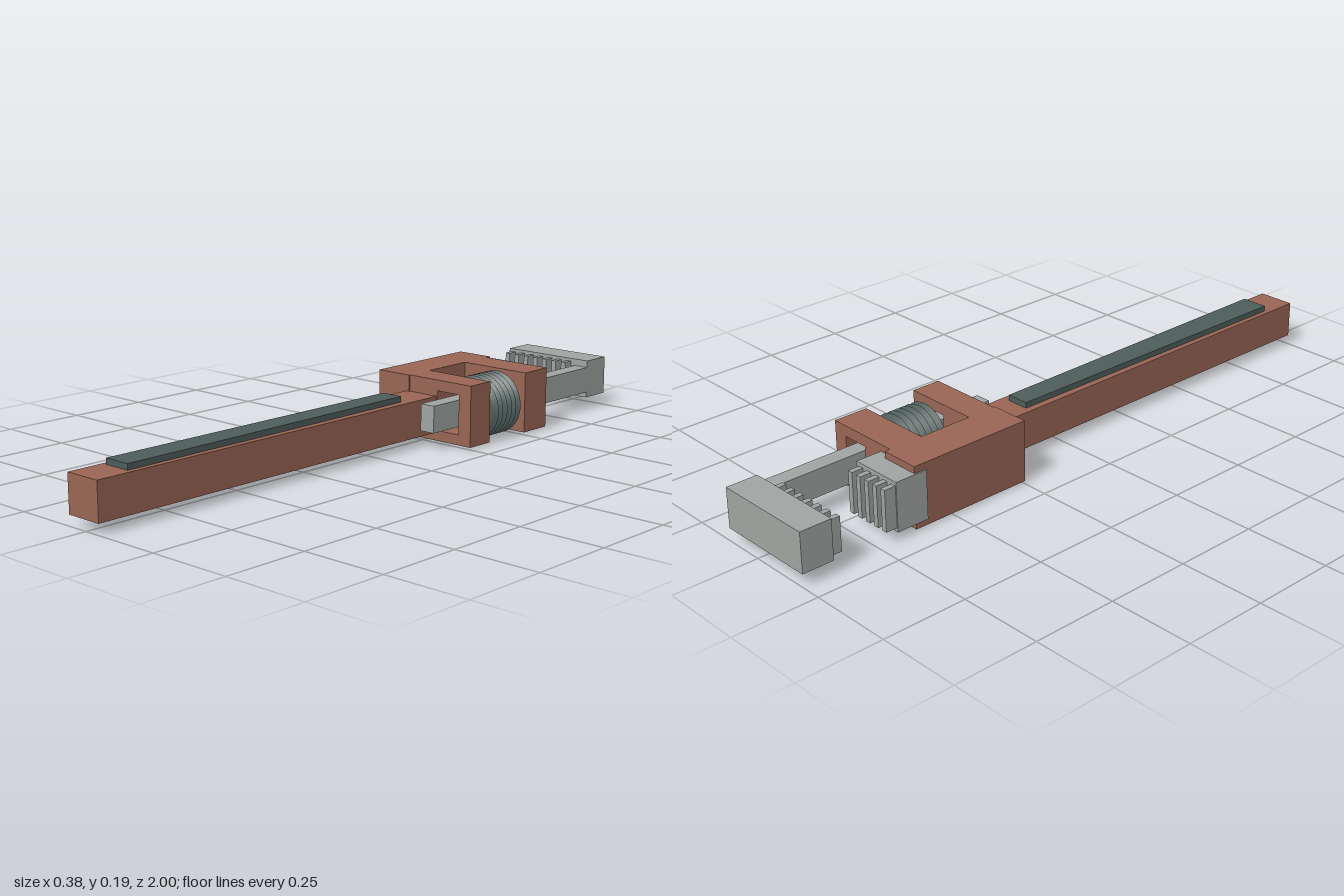
import * as THREE from 'three';
import { toCreasedNormals } from 'three/addons/utils/BufferGeometryUtils.js';

export function createModel() {
  const model = new THREE.Group();
  model.name = 'pipeWrench';

  const paint = new THREE.MeshStandardMaterial({ name: 'rustPaint', color: 0x9a6655 });
  const dark = new THREE.MeshStandardMaterial({ name: 'darkSteel', color: 0x4e5e5b });
  const steel = new THREE.MeshStandardMaterial({ name: 'lightSteel', color: 0xa0a5a2 });

  const add = (name, geometry, material, parent = model) => {
    const mesh = new THREE.Mesh(geometry, material);
    mesh.name = name;
    parent.add(mesh);
    return mesh;
  };
  // Box given by its limits on each axis
  const block = (name, material, [x0, x1], [y0, y1], [z0, z1], parent) => {
    const g = new THREE.BoxGeometry(x1 - x0, y1 - y0, z1 - z0);
    g.translate((x0 + x1) / 2, (y0 + y1) / 2, (z0 + z1) / 2);
    return add(name, g, material, parent);
  };
  const path = (T, pts) => new T(pts.map(([x, y]) => new THREE.Vector2(x, y)));
  const rect = (T, x0, x1, y0, y1) => path(T, [[x0, y0], [x1, y0], [x1, y1], [x0, y1]]);

  // Handle with a slightly tapered inlay on top
  block('handle', paint, [-0.064, 0.05], [0.03, 0.139], [-0.27, 1]);
  const inlay = new THREE.ExtrudeGeometry(
    path(THREE.Shape, [[-0.049, -0.892], [0.034, -0.892], [0.026, 0.124], [-0.043, 0.124]]),
    { depth: 0.027, bevelEnabled: false });
  inlay.rotateX(-Math.PI / 2).translate(0, 0.129, 0);
  add('handleInlay', inlay, dark);

  // Housing: side column and two arms pierced for the sliding bar
  const housing = new THREE.Group();
  housing.name = 'housing';
  model.add(housing);
  block('housingColumn', paint, [-0.17, -0.052], [0.006, 0.188], [-0.627, -0.246], housing);
  for (const [name, z0, z1] of [['frontArm', -0.34, -0.251], ['rearArm', -0.61, -0.505]]) {
    const shape = rect(THREE.Shape, -0.054, 0.18, 0.006, 0.188);
    shape.holes.push(rect(THREE.Path, 0.054, 0.136, 0.037, 0.156));
    const arm = new THREE.ExtrudeGeometry(shape, { depth: z1 - z0, bevelEnabled: false });
    arm.translate(0, 0, z0);
    add(name, arm, paint, housing);
  }

  // Ridged adjusting nut with a round bore
  const ridges = 6, length = 0.124, bore = 0.037;
  const profile = [[bore, -length / 2]];
  for (let i = 0; i <= ridges * 2; i++) {
    profile.push([i % 2 ? 0.094 : 0.079, (i / (ridges * 2) - 0.5) * length]);
  }
  profile.push([bore, length / 2], [bore, -length / 2]);
  const nut = new THREE.LatheGeometry(profile.map(([r, y]) => new THREE.Vector2(r, y)), 48);
  nut.rotateX(Math.PI / 2);
  add('adjustingNut', toCreasedNormals(nut, 0.5), dark).position.set(0.095, 0.094, -0.422);

  // Sliding hook jaw
  const hook = new THREE.Group();
  hook.name = 'hookJaw';
  model.add(hook);
  block('slidingBar', steel, [0.07, 0.119], [0.055, 0.135], [-0.91, -0.16], hook);
  block('hookJawHead', steel, [-0.191, 0.119], [0.038, 0.156], [-1, -0.905], hook);

  // Fixed heel jaw
  const heel = new THREE.Group();
  heel.name = 'heelJaw';
  model.add(heel);
  block('heelJawBlock', steel, [-0.174, -0.014], [0.024, 0.168], [-0.69, -0.59], heel);

  // Rows of gripping teeth facing each other
  const teeth = (parent, count, first, step, y, z) => {
    for (let i = 0; i < count; i++) {
      const x = first + i * step;
      block('tooth' + (i + 1), steel, [x - 0.008, x + 0.008], y, z, parent);
    }
  };
  teeth(hook, 7, -0.174, 0.037, [0.047, 0.147], [-0.91, -0.873]);
  teeth(heel, 5, -0.163, 0.033, [0.036, 0.157], [-0.725, -0.685]);

  return model;
}
